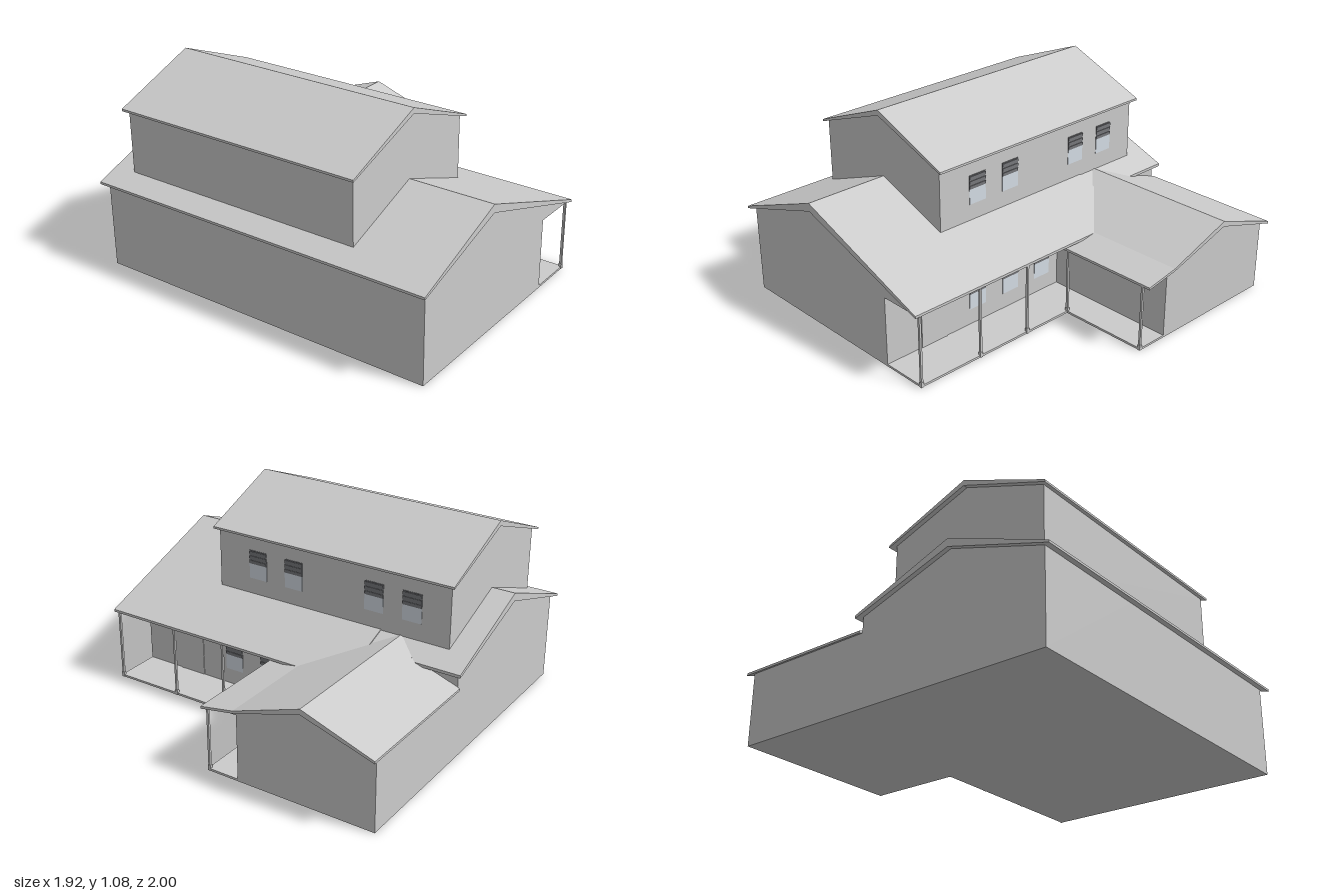
import * as THREE from 'three';

const grey = new THREE.MeshStandardMaterial({ color: 0xcccccc, flatShading: true });
const glass = new THREE.MeshStandardMaterial({ color: 0xd5dde6 });
const blind = new THREE.MeshStandardMaterial({ color: 0x77787c });

// Extrude a profile of [u, y] points from a to b, along z or (alongX) along x with u = z
function prism(name, points, a, b, alongX = false) {
  const shape = new THREE.Shape(points.map(([u, y]) => new THREE.Vector2(u, y)));
  const geo = new THREE.ExtrudeGeometry(shape, { depth: b - a, bevelEnabled: false });
  if (alongX) geo.translate(0, 0, -b).rotateY(-Math.PI / 2);
  else geo.translate(0, 0, a);
  const mesh = new THREE.Mesh(geo, grey);
  mesh.name = name;
  return mesh;
}

// Box given by its lower and upper limits on each axis
function block(name, [x0, x1], [y0, y1], [z0, z1], material = grey) {
  const mesh = new THREE.Mesh(new THREE.BoxGeometry(x1 - x0, y1 - y0, z1 - z0), material);
  mesh.position.set((x0 + x1) / 2, (y0 + y1) / 2, (z0 + z1) / 2);
  mesh.name = name;
  return mesh;
}

// Window on a wall facing +x, with a half-drawn blind
function makeWindow(x, y0, y1, z, bars) {
  const group = new THREE.Group();
  group.name = 'window';
  const w = 0.055, mid = y0 + (y1 - y0) * 0.52;
  group.add(block('pane', [x - 0.01, x + 0.003], [y0, mid], [z - w, z + w], glass));
  group.add(block('blind', [x - 0.01, x + 0.003], [mid, y1], [z - w, z + w], blind));
  for (let i = 0; i < bars; i++) {
    const y = mid + (i + 0.5) * (y1 - mid) / bars;
    group.add(block('slat', [x, x + 0.006], [y - 0.007, y + 0.007], [z - w, z + w], blind));
  }
  return group;
}

export function createModel() {
  const house = new THREE.Group();
  house.name = 'house';
  const ridge = -0.385;

  // Main storey: the front stretch overhangs the porch
  const back = [[-0.92, 0], [0.16, 0], [0.16, 0.478], [ridge, 0.66], [-0.92, 0.486]];
  const front = [[-0.92, 0], [0.16, 0], [0.16, 0.388], [0.41, 0.388], [0.41, 0.397],
    [ridge, 0.66], [-0.92, 0.486]];
  house.add(prism('mainWallsBack', back, -0.975, -0.3));
  house.add(prism('mainWallsFront', front, -0.3, 0.975));

  // Main roof: short eave behind the wing, long eave over the porch
  const mainRoof = (x, top, under) => [[-0.96, 0.474], [ridge, 0.66], [x, under],
    [x, top], [ridge, 0.705], [-0.96, 0.487]];
  house.add(prism('mainRoofBack', mainRoof(0.19, 0.487, 0.471), -1, -0.48));
  house.add(prism('mainRoofFront', mainRoof(0.42, 0.408, 0.394), -0.48, 1));

  // Upper storey
  house.add(prism('upperWalls', [[-0.84, 0.45], [0.06, 0.45], [0.06, 0.883],
    [ridge, 1.045], [-0.84, 0.88]], -0.87, 0.53));
  house.add(prism('upperRoof', [[-0.865, 0.873], [ridge, 1.045], [0.09, 0.873],
    [0.09, 0.885], [ridge, 1.075], [-0.865, 0.885]], -0.895, 0.55));

  // Side wing with its own small porch
  house.add(prism('wingWalls', [[-0.975, 0], [-0.205, 0], [-0.205, 0.365], [-0.03, 0.365],
    [-0.215, 0.396], [-0.595, 0.51], [-0.975, 0.394]], 0.15, 0.92, true));
  house.add(prism('wingRoof', [[-0.99, 0.39], [-0.595, 0.51], [-0.215, 0.396], [-0.025, 0.363],
    [-0.025, 0.376], [-0.215, 0.41], [-0.595, 0.54], [-0.99, 0.403]], 0.165, 0.96, true));
  house.add(prism('wingRoofJoin', [[-0.745, 0.46], [-0.315, 0.43], [-0.315, 0.4442],
    [-0.595, 0.54], [-0.745, 0.488]], 0.04, 0.17, true));

  // Porch floors
  house.add(block('porchFloor', [0.16, 0.415], [0, 0.012], [-0.205, 0.975]));
  house.add(block('wingPorchFloor', [0.415, 0.92], [0, 0.012], [-0.205, -0.025]));

  // Porch posts on small bases
  const posts = [[0.41, 0.969, 0.39], [0.41, 0.587, 0.39], [0.41, 0.265, 0.39],
    [0.41, -0.031, 0.372], [0.912, -0.031, 0.368]];
  for (const [x, z, h] of posts) {
    house.add(block('porchPost', [x - 0.006, x + 0.006], [0, h], [z - 0.006, z + 0.006]));
    house.add(block('postBase', [x - 0.008, x + 0.008], [0, 0.03], [z - 0.008, z + 0.008]));
  }

  // Door and windows
  house.add(block('door', [0.15, 0.164], [0.012, 0.265], [0.592, 0.755]));
  for (const z of [0.378, 0.147, -0.085]) house.add(makeWindow(0.16, 0.1, 0.265, z, 3));
  for (const z of [0.28, 0.053, -0.435, -0.655]) house.add(makeWindow(0.06, 0.63, 0.79, z, 3));

  return house;
}
